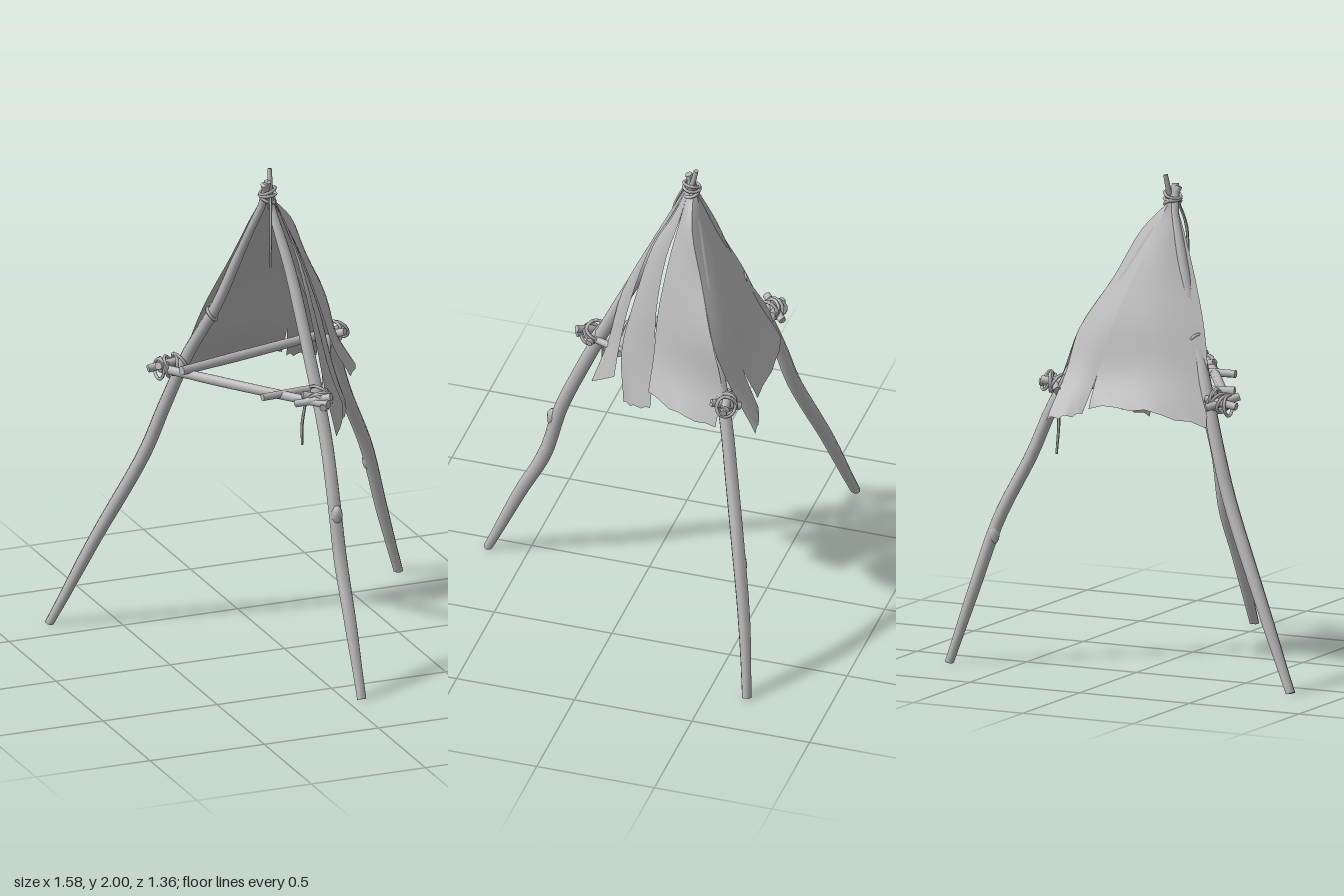
import * as THREE from 'three';
import { toCreasedNormals } from 'three/addons/utils/BufferGeometryUtils.js';

const V = (p) => new THREE.Vector3(...p);

export function createModel() {
  const group = new THREE.Group();
  const grey = new THREE.MeshStandardMaterial({ color: 0xb8b8b8 });
  grey.name = 'weathered grey';
  const greyCloth = grey;
  greyCloth.side = THREE.DoubleSide;

  const add = (name, geo) => {
    const mesh = new THREE.Mesh(geo, grey);
    mesh.name = name;
    group.add(mesh);
    return mesh;
  };

  // Tapered branch along points; radii are spread evenly over its length
  function branch(name, points, radii, sides = 8, n = 24) {
    const curve = new THREE.CatmullRomCurve3(points.map(V), false, 'centripetal');
    const geo = new THREE.TubeGeometry(curve, n, 1, sides, false);
    const pos = geo.attributes.position;
    const v = new THREE.Vector3();
    for (let i = 0; i <= n; i++) {
      const end = i === 0 || i === n;
      // End rings collapse onto the neighbouring station to close the branch
      const c = curve.getPointAt(i / n);
      const f = Math.min((Math.min(Math.max(i, 1), n - 1) / n) * (radii.length - 1), radii.length - 1.001);
      const k = Math.floor(f);
      const r = end ? 0.0005 : THREE.MathUtils.lerp(radii[k], radii[k + 1], f - k);
      const base = i === 1 ? curve.getPointAt(0) : i === n - 1 ? curve.getPointAt(1) : c;
      for (let j = 0; j <= sides; j++) {
        const id = i * (sides + 1) + j;
        v.fromBufferAttribute(pos, id).sub(c).multiplyScalar(r).add(base);
        pos.setXYZ(id, v.x, Math.max(0, v.y), v.z);
      }
    }
    return add(name, toCreasedNormals(geo, 0.9));
  }

  // Sheet of cloth lofted between two edges, bulging by an offset in the middle
  function cloth(name, a, b, bulge = [0, 0, 0], ragged = 0) {
    const ca = new THREE.CatmullRomCurve3(a.map(V), false, 'centripetal');
    const cb = new THREE.CatmullRomCurve3(b.map(V), false, 'centripetal');
    const geo = new THREE.PlaneGeometry(1, 1, 8, 20);
    const pos = geo.attributes.position;
    for (let i = 0; i < pos.count; i++) {
      const u = pos.getX(i) + 0.5, t = 0.5 - pos.getY(i);
      const p = ca.getPoint(t).lerp(cb.getPoint(t), u);
      p.addScaledVector(V(bulge), Math.sin(Math.PI * u) * t);
      if (t > 0.99) p.y += ragged * Math.sin(u * 17);
      pos.setXYZ(i, p.x, p.y, p.z);
    }
    geo.computeVertexNormals();
    return add(name, geo);
  }

  // Several tilted rope loops around a joint
  function lashing(name, at, dir, radius, count, spread = 0.016) {
    const d = V(dir).normalize();
    const q = new THREE.Quaternion().setFromUnitVectors(new THREE.Vector3(0, 0, 1), d);
    for (let i = 0; i < count; i++) {
      const loop = add(name, new THREE.TorusGeometry(radius, 0.007, 5, 14));
      loop.quaternion.copy(q);
      loop.rotateX(0.35 * Math.sin(i * 2.4 + 1));
      loop.rotateY(0.35 * Math.cos(i * 1.7));
      loop.position.copy(V(at)).addScaledVector(d, (i - (count - 1) / 2) * spread);
    }
  }

  // Three bent legs meeting at the top
  branch('frontLeg', [[0.065, 0, 0.665], [0.068, 0.3, 0.53], [0.072, 0.52, 0.42], [0.07, 0.75, 0.355],
    [0.075, 1, 0.25], [0.062, 1.3, 0.11], [0.045, 1.6, -0.04], [0.01, 1.88, -0.175], [0.02, 2, -0.205]],
  [0.018, 0.026, 0.029, 0.028, 0.028, 0.027, 0.026, 0.022, 0.006], 8, 36);
  branch('leftLeg', [[0.77, 0, -0.66], [0.68, 0.3, -0.62], [0.59, 0.6, -0.565], [0.475, 0.86, -0.5],
    [0.41, 1.04, -0.46], [0.27, 1.36, -0.36], [0.12, 1.66, -0.26], [0, 1.89, -0.18], [-0.02, 1.95, -0.165]],
  [0.019, 0.026, 0.028, 0.028, 0.027, 0.025, 0.022, 0.015], 8, 36);
  branch('rightLeg', [[-0.77, 0, -0.63], [-0.6, 0.36, -0.565], [-0.415, 0.74, -0.48], [-0.34, 0.95, -0.445],
    [-0.26, 1.18, -0.39], [-0.17, 1.4, -0.31], [-0.07, 1.7, -0.24], [-0.005, 1.9, -0.18], [-0.005, 1.96, -0.165]],
  [0.019, 0.026, 0.029, 0.029, 0.027, 0.024, 0.021, 0.014], 8, 36);

  // Knots in the wood
  for (const [x, y, z] of [[0.07, 0.7, 0.39], [0.605, 0.53, -0.585]]) {
    const knot = add('woodKnot', new THREE.SphereGeometry(0.024, 8, 6));
    knot.position.set(x, y, z);
    knot.scale.y = 1.7;
  }

  // Horizontal rails and cross sticks
  const rail = [0.019, 0.022, 0.021, 0.018];
  branch('rightRail', [[-0.37, 1.12, -0.42], [-0.15, 1.13, -0.06], [0.075, 1.14, 0.285]], rail);
  branch('backRail', [[-0.335, 1.15, -0.28], [0.05, 1.15, -0.38], [0.45, 1.16, -0.465]], rail);
  branch('leftRail', [[0.05, 1.13, 0.29], [0.2, 1.15, -0.04], [0.36, 1.16, -0.42]], [0.014, 0.016, 0.014]);
  branch('crossStick', [[-0.14, 1.14, 0.105], [0.03, 1.14, 0.09], [0.17, 1.14, 0.075]], [0.016, 0.017, 0.014]);
  const pegs = [
    [[-0.42, 1.12, -0.43], [-0.28, 1.14, -0.43]], [[-0.4, 1.15, -0.37], [-0.3, 1.11, -0.47]],
    [[0.33, 1.17, -0.44], [0.46, 1.15, -0.46]], [[0.36, 1.13, -0.5], [0.43, 1.17, -0.4]],
    [[0, 1.16, 0.19], [0.12, 1.13, 0.22]], [[-0.02, 1.12, 0.17], [0.09, 1.17, 0.28]],
  ];
  for (const [a, b] of pegs) branch('lashedPeg', [a, b], [0.016, 0.018, 0.015], 7, 8);

  // Rope lashings
  lashing('topLashing', [0, 1.9, -0.18], [0, 1, 0], 0.034, 3);
  lashing('frontLashing', [0.065, 1.15, 0.215], [0.3, 0.6, -0.5], 0.042, 4);
  lashing('rightLashing', [-0.335, 1.13, -0.41], [1, 0.3, 0.2], 0.042, 5, 0.022);
  lashing('leftLashing', [0.39, 1.15, -0.45], [1, 0.3, -0.3], 0.042, 5, 0.02);
  lashing('legBinding', [-0.185, 1.36, -0.325], [0.4, 1, 0.3], 0.03, 1);

  // Loose rope ends
  const rope = [0.006, 0.007, 0.005];
  branch('looseRope', [[0.01, 1.13, 0.2], [-0.005, 1.04, 0.2], [-0.005, 0.95, 0.2]], rope, 5, 10);
  branch('looseRope', [[0.39, 1.13, -0.46], [0.38, 1, -0.45], [0.385, 0.86, -0.46]], rope, 5, 10);
  branch('looseRope', [[0, 1.9, -0.15], [-0.02, 1.78, -0.1], [-0.025, 1.62, -0.09]], rope, 5, 10);

  // Left cover: one wide piece and two torn strips
  const ridge = [[0.01, 1.89, -0.19], [0.12, 1.77, -0.22], [0.21, 1.58, -0.29], [0.325, 1.37, -0.375]];
  cloth('leftCover', [...ridge, [0.37, 1.2, -0.425], [0.44, 1.06, -0.42]],
    [[0.02, 1.89, -0.17], [0.07, 1.77, -0.15], [0.13, 1.62, -0.125], [0.2, 1.4, -0.1], [0.26, 1.22, -0.1], [0.33, 1.1, -0.1]],
    [0.03, 0, 0.01], 0.006);
  cloth('tornStripMiddle',
    [[0.02, 1.89, -0.17], [0.07, 1.77, -0.148], [0.12, 1.62, -0.11], [0.19, 1.4, -0.09], [0.24, 1.2, -0.098], [0.305, 1, -0.1]],
    [[0.02, 1.89, -0.16], [0.05, 1.77, -0.11], [0.08, 1.65, -0.045], [0.13, 1.4, 0.02], [0.17, 1.15, 0.065], [0.22, 0.95, 0.04]],
    [0.015, 0, 0.01], 0.006);
  cloth('tornStripFront',
    [[0.02, 1.89, -0.16], [0.05, 1.77, -0.105], [0.085, 1.65, -0.04], [0.13, 1.4, 0.035], [0.17, 1.2, 0.07], [0.22, 1.06, 0.08]],
    [[0.02, 1.89, -0.15], [0.045, 1.77, -0.09], [0.07, 1.65, -0.03], [0.09, 1.4, 0.085], [0.12, 1.15, 0.14], [0.145, 0.965, 0.2]],
    [0.01, 0, 0.01]);

  // Back cover: a wide piece and a narrow torn piece
  const slit = [[0.005, 1.89, -0.2], [0.05, 1.77, -0.245], [0.1, 1.6, -0.32], [0.16, 1.4, -0.4], [0.2, 1.2, -0.46]];
  cloth('backCover',
    [[-0.02, 1.88, -0.19], [-0.06, 1.8, -0.21], [-0.13, 1.63, -0.25], [-0.22, 1.4, -0.325], [-0.27, 1.2, -0.39], [-0.3, 1.025, -0.465]],
    [...slit, [0.205, 1.08, -0.525]], [0, 0.03, -0.025], 0.008);
  cloth('backTornStrip', [...slit, [0.23, 1.05, -0.535]],
    [...ridge, [0.345, 1.2, -0.455], [0.375, 1.025, -0.57]], [0, 0, -0.01], 0.008);

  return group;
}
